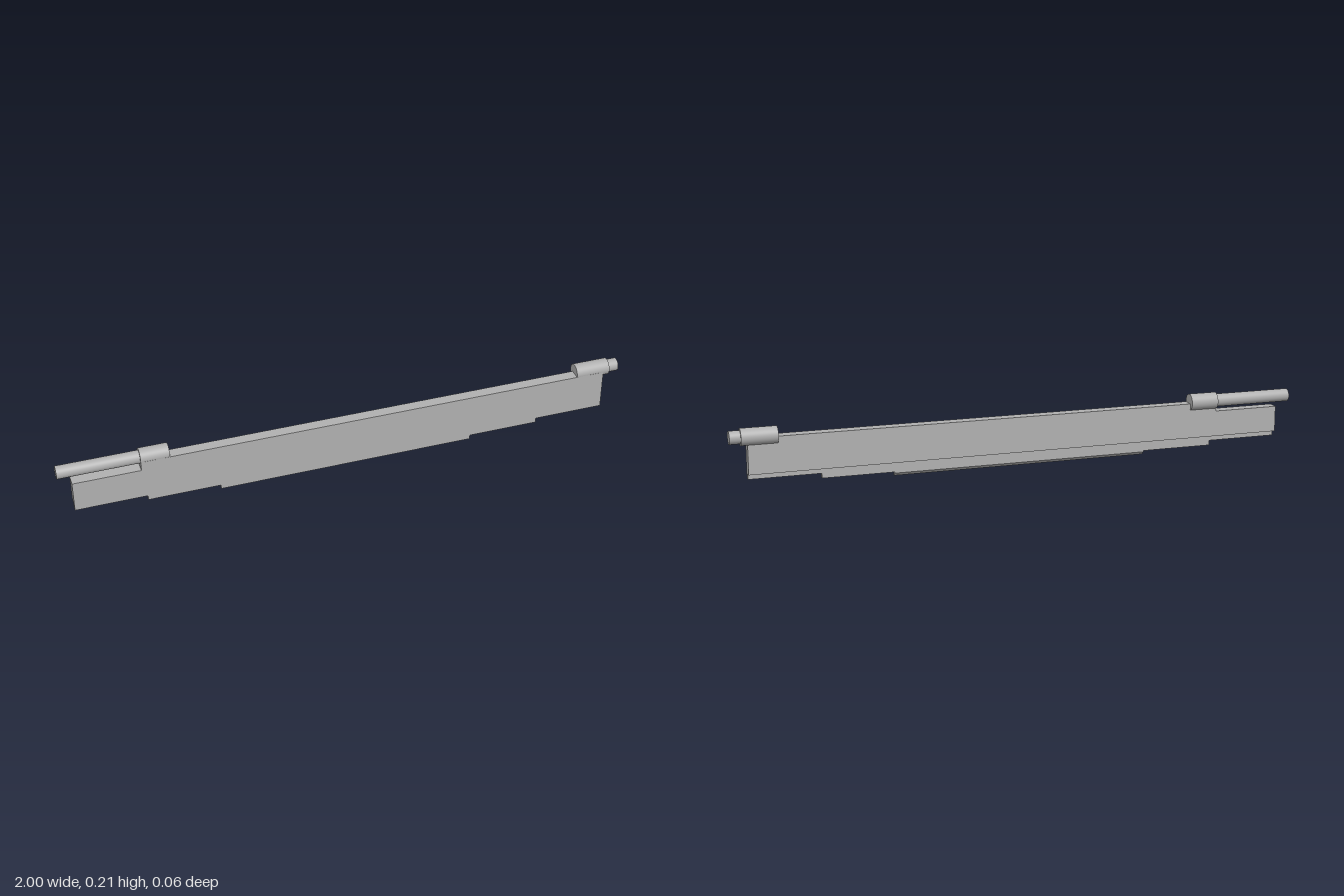
import * as THREE from 'three';

export function createModel() {
  const model = new THREE.Group();
  const grey = new THREE.MeshStandardMaterial({ color: 0xb0b0b0 });
  grey.name = 'plain grey';

  function add(name, geometry) {
    const mesh = new THREE.Mesh(geometry, grey);
    mesh.name = name;
    model.add(mesh);
    return mesh;
  }

  // Plate outline in x, y extruded between two depths
  function plate(name, points, z0, z1) {
    const shape = new THREE.Shape(points.map(([x, y]) => new THREE.Vector2(x, y)));
    const geometry = new THREE.ExtrudeGeometry(shape, { depth: z1 - z0, bevelEnabled: false });
    add(name, geometry.translate(0, 0, z0));
  }

  // Round bar along x, on the hinge axis
  function bar(name, x0, x1, radius) {
    const geometry = new THREE.CylinderGeometry(radius, radius, x1 - x0, 40);
    geometry.rotateZ(Math.PI / 2);
    add(name, geometry.translate((x0 + x1) / 2, 0.18, 0));
  }

  // Top edge shared by both layers, notched below the long pin
  const top = [[0.94, 0.176], [-0.722, 0.176], [-0.722, 0.143], [-0.954, 0.143]];

  // Front layer with the stepped lower edge
  plate('frontPlate', [
    ...top,
    [-0.954, 0.032], [-0.707, 0.032], [-0.707, 0.015],
    [0.693, 0.015], [0.693, 0.032], [0.94, 0.032],
  ], 0.009, 0.029);

  // Thicker rear layer, ending above the lip
  plate('backPlate', [...top, [-0.954, 0.052], [0.94, 0.052]], -0.011, 0.009);

  // Lowest step with its rear edge chamfered; profile is (-z, y)
  const lip = new THREE.Shape([
    [-0.029, 0], [-0.02, 0], [-0.009, 0.011], [-0.009, 0.015], [-0.029, 0.015],
  ].map(([x, y]) => new THREE.Vector2(x, y)));
  const lipGeometry = new THREE.ExtrudeGeometry(lip, { depth: 0.9, bevelEnabled: false });
  lipGeometry.rotateY(Math.PI / 2).translate(-0.456, 0, 0);
  add('bottomLip', lipGeometry);

  // Hinge knuckles and pins
  bar('rightKnuckle', -0.722, -0.623, 0.029);
  bar('rightPin', -1, -0.72, 0.0225);
  bar('leftKnuckle', 0.84, 0.963, 0.029);
  bar('leftPin', 0.96, 1, 0.0225);

  return model;
}
